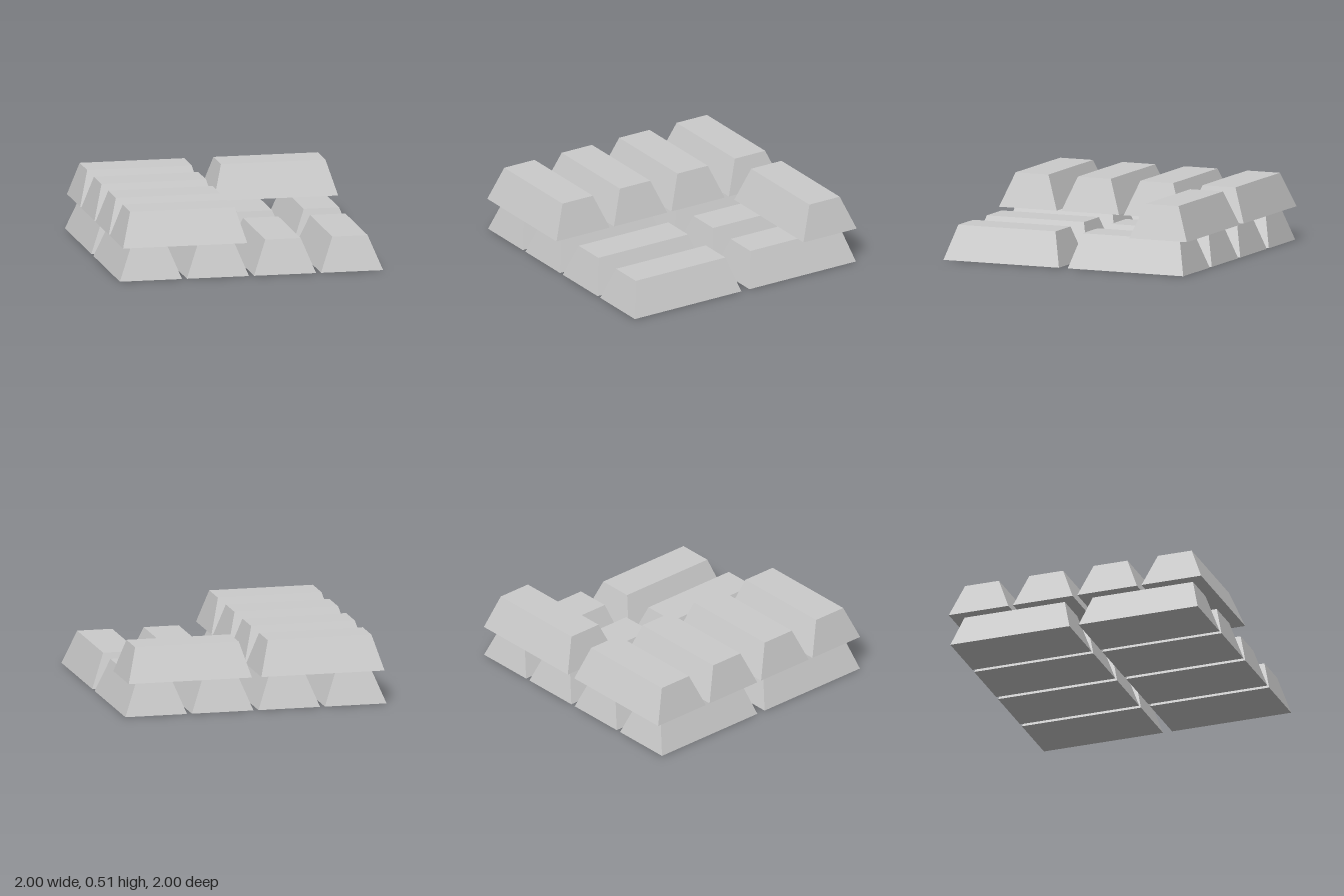
import * as THREE from 'three';

const WIDTH = 0.472, LENGTH = 0.944, HEIGHT = 0.255;
const TOP_WIDTH = 0.268, TOP_LENGTH = 0.794;

// Ingot: a box whose upper face is drawn in, standing on y = 0, long along z
function ingotGeometry() {
  const geometry = new THREE.BoxGeometry(WIDTH, HEIGHT, LENGTH);
  geometry.translate(0, HEIGHT / 2, 0);
  const p = geometry.attributes.position;
  for (let i = 0; i < p.count; i++) {
    if (p.getY(i) > HEIGHT / 2) {
      p.setX(i, Math.sign(p.getX(i)) * TOP_WIDTH / 2);
      p.setZ(i, Math.sign(p.getZ(i)) * TOP_LENGTH / 2);
    }
  }
  geometry.computeVertexNormals();
  return geometry;
}

export function createModel() {
  const model = new THREE.Group();
  model.name = 'ingotStack';
  const geometry = ingotGeometry();
  const material = new THREE.MeshStandardMaterial({ color: 0xcccccc, flatShading: true });

  const lowerLayer = new THREE.Group();
  lowerLayer.name = 'lowerLayer';
  const upperLayer = new THREE.Group();
  upperLayer.name = 'upperLayer';
  model.add(lowerLayer, upperLayer);

  const addIngot = (layer, x, y, z, turn) => {
    const ingot = new THREE.Mesh(geometry, material);
    ingot.name = 'ingot';
    ingot.position.set(x, y, z);
    ingot.rotation.y = turn;
    layer.add(ingot);
  };

  const slots = [-0.764, -0.255, 0.255, 0.764];

  // Lower layer: two full rows of four, lying front to back
  for (const x of slots) {
    for (const z of [-0.508, 0.508]) addIngot(lowerLayer, x, 0, z, 0);
  }

  // Upper layer: lying crosswise, four on the right and a single one at the back left
  for (const z of slots) addIngot(upperLayer, -0.508, HEIGHT, z, Math.PI / 2);
  addIngot(upperLayer, 0.508, HEIGHT, slots[0], Math.PI / 2);

  return model;
}
